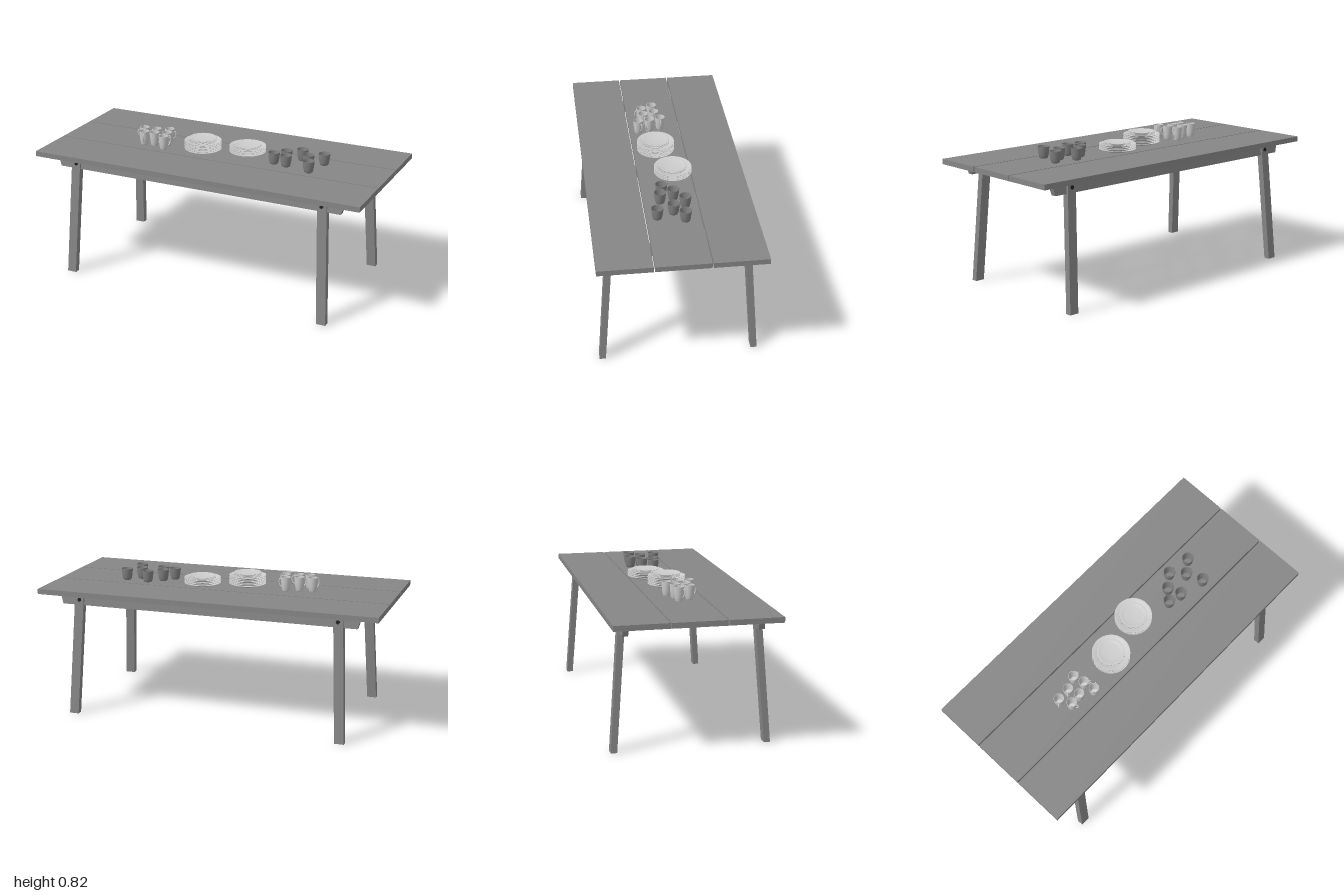
import * as THREE from 'three';

const paint = (color, side = THREE.FrontSide) => new THREE.MeshStandardMaterial({ color, side });
const wood = paint(0x868686);
const iron = paint(0x1c1c1c);
const plateGlaze = paint(0xcccccc, THREE.DoubleSide);
const mugGlaze = paint(0xe6e6e6, THREE.DoubleSide);
const cupGlaze = paint(0x808080, THREE.DoubleSide);

const TOP = 0.74; // height of the table surface

// Box between two heights whose bottom and top rectangles are [cx, cz, width, depth]
function block(name, y0, y1, bottom, top = bottom) {
  const geo = new THREE.BoxGeometry(1, 1, 1);
  const p = geo.attributes.position;
  for (let i = 0; i < p.count; i++) {
    const [cx, cz, w, d] = p.getY(i) > 0 ? top : bottom;
    p.setXYZ(i, cx + p.getX(i) * w, p.getY(i) > 0 ? y1 : y0, cz + p.getZ(i) * d);
  }
  geo.computeVertexNormals();
  const mesh = new THREE.Mesh(geo, wood);
  mesh.name = name;
  return mesh;
}

function lathe(points, segments = 32) {
  return new THREE.LatheGeometry(points.map(([r, y]) => new THREE.Vector2(r, y)), segments);
}

function createTable() {
  const table = new THREE.Group();
  table.name = 'table';

  // Three planks with narrow gaps
  for (const z of [-0.304, 0, 0.304]) {
    table.add(block('plank', 0.71, TOP, [0, z, 2, 0.297]));
  }

  // Cross beams under the planks
  for (const x of [-0.765, 0, 0.765]) {
    table.add(block('crossBeam', 0.655, 0.71, [x, 0, 0.04, 0.72]));
  }

  for (const sz of [-1, 1]) {
    // Long rail with slanted ends, leaning with the legs
    table.add(block('sideRail', 0.648, 0.71, [0, sz * 0.368, 1.744, 0.032], [0, sz * 0.363, 1.78, 0.032]));

    for (const sx of [-1, 1]) {
      // Splayed leg
      table.add(block('leg', 0, 0.71, [sx * 0.8, sz * 0.4235, 0.055, 0.035], [sx * 0.765, sz * 0.3705, 0.055, 0.037]));

      // Bolt head on the outer face of the leg
      const bolt = new THREE.Mesh(new THREE.CylinderGeometry(0.011, 0.011, 0.012, 20), iron);
      bolt.name = 'bolt';
      bolt.rotation.x = Math.PI / 2 - sz * 0.075;
      bolt.position.set(sx * 0.765, 0.68, sz * 0.389);
      table.add(bolt);
    }
  }
  return table;
}

// Shallow plate with a foot ring and sloping rim
function plateGeometry(r, h) {
  return lathe([
    [0, 0.002], [r * 0.55, 0], [r * 0.62, 0.002], [r * 0.8, h * 0.5], [r, h - 0.002],
    [r, h], [r * 0.78, h * 0.5 + 0.004], [r * 0.62, 0.005], [0, 0.005],
  ], 48);
}

function plateStack(x, z, layers) {
  const stack = new THREE.Group();
  stack.name = 'plateStack';
  stack.position.set(x, TOP, z);
  for (const { radius, height, base, step, count } of layers) {
    const geo = plateGeometry(radius, height);
    for (let i = 0; i < count; i++) {
      const plate = new THREE.Mesh(geo, plateGlaze);
      plate.name = 'plate';
      plate.position.y = base + i * step;
      stack.add(plate);
    }
  }
  return stack;
}

export function createModel() {
  const model = new THREE.Group();
  model.name = 'laidTable';
  model.add(createTable());

  // Tall stack and low stack of plates, small ones on top of large ones
  model.add(plateStack(-0.123, 0.019, [
    { radius: 0.108, height: 0.018, base: 0, step: 0.0095, count: 6 },
    { radius: 0.08, height: 0.012, base: 0.054, step: 0.005, count: 4 },
  ]));
  model.add(plateStack(0.132, -0.05, [
    { radius: 0.107, height: 0.018, base: 0, step: 0.01, count: 4 },
    { radius: 0.08, height: 0.012, base: 0.036, step: 0.005, count: 3 },
  ]));

  // Tapered cups with a rounded foot
  const cupGeo = lathe([
    [0, 0], [0.02, 0], [0.024, 0.003], [0.028, 0.018], [0.031, 0.04], [0.034, 0.067], [0.033, 0.068],
    [0.031, 0.067], [0.028, 0.04], [0.025, 0.018], [0.024, 0.006], [0.022, 0.004], [0, 0.004],
  ]);
  const cups = [[0.337, 0.04], [0.39, -0.02], [0.417, 0.056], [0.465, -0.078], [0.53, -0.005], [0.567, 0.088], [0.604, -0.061]];
  for (const [x, z] of cups) {
    const cup = new THREE.Mesh(cupGeo, cupGlaze);
    cup.name = 'cup';
    cup.position.set(x, TOP, z);
    model.add(cup);
  }

  // Mugs, each with a handle turned its own way
  const mugGeo = lathe([
    [0, 0], [0.018, 0], [0.021, 0.003], [0.025, 0.025], [0.027, 0.05], [0.029, 0.081], [0.028, 0.082],
    [0.026, 0.081], [0.024, 0.05], [0.022, 0.025], [0.02, 0.006], [0.018, 0.004], [0, 0.004],
  ]);
  const handleCurve = new THREE.CatmullRomCurve3(
    [[0.026, 0.068], [0.036, 0.068], [0.041, 0.054], [0.036, 0.034], [0.023, 0.021]]
      .map(([x, y]) => new THREE.Vector3(x, y, 0)));
  const handleGeo = new THREE.TubeGeometry(handleCurve, 20, 0.0035, 8);
  // x, z and handle heading in degrees from +x towards +z
  const mugs = [
    [-0.52, 0, 140], [-0.443, -0.005, 140], [-0.37, -0.035, 0], [-0.487, 0.067, 70],
    [-0.422, 0.06, -10], [-0.353, 0.03, 35], [-0.342, 0.098, -30],
  ];
  for (const [x, z, heading] of mugs) {
    const mug = new THREE.Group();
    mug.name = 'mug';
    const body = new THREE.Mesh(mugGeo, mugGlaze);
    body.name = 'mugBody';
    const handle = new THREE.Mesh(handleGeo, mugGlaze);
    handle.name = 'mugHandle';
    mug.add(body, handle);
    mug.position.set(x, TOP, z);
    mug.rotation.y = -THREE.MathUtils.degToRad(heading);
    model.add(mug);
  }
  return model;
}
